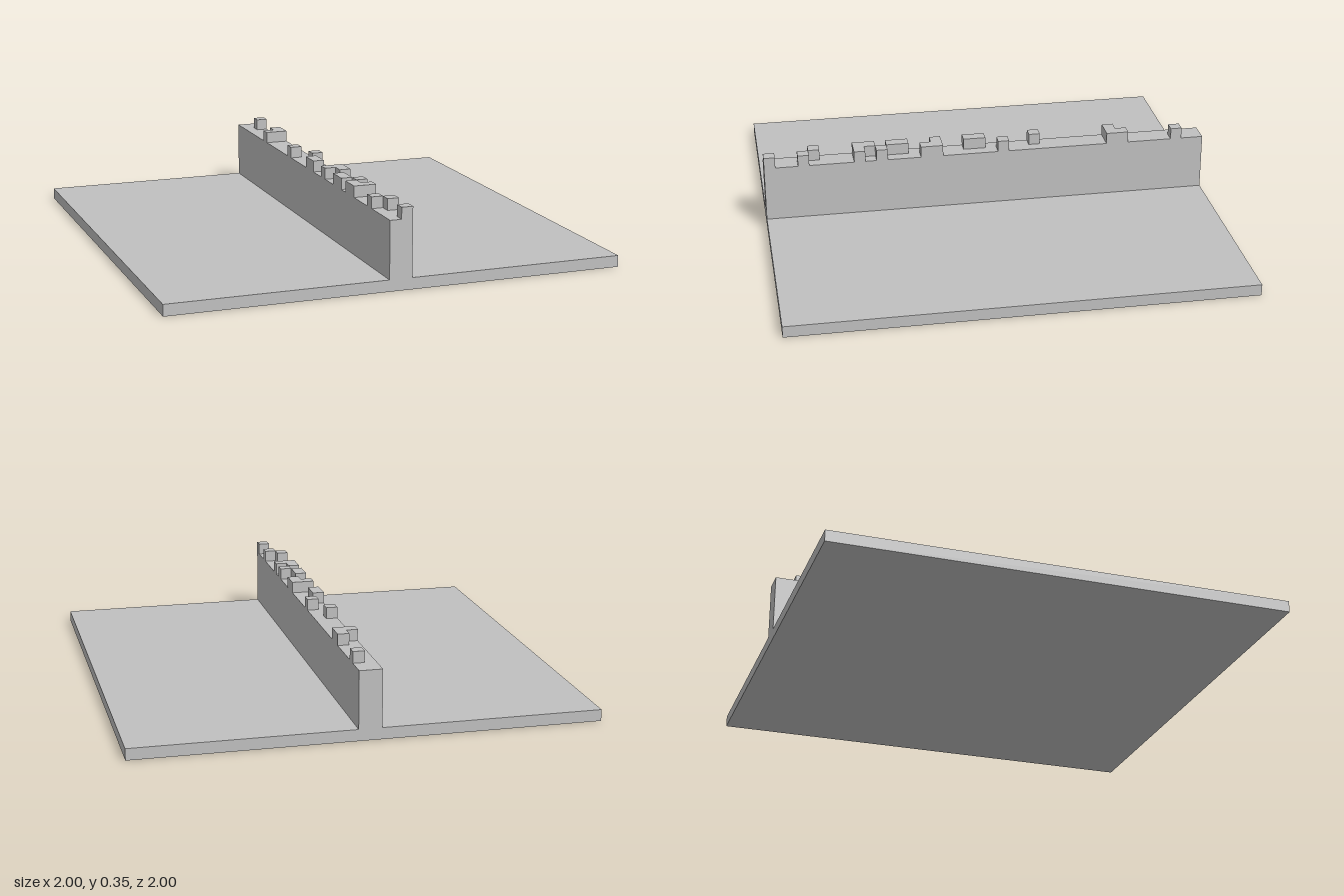
import * as THREE from 'three';

export function createModel() {
  const group = new THREE.Group();
  const stone = new THREE.MeshStandardMaterial({ color: 0xc0c0c0 });
  stone.name = 'light grey stone';

  const U = 0.05; // edge of one block

  // Floor slab and central wall share one inverted-T section
  const section = new THREE.Shape([
    [-1, 0], [1, 0], [1, U], [U, U], [U, 6 * U], [-U, 6 * U], [-U, U], [-1, U],
  ].map(([x, y]) => new THREE.Vector2(x, y)));
  const body = new THREE.Mesh(
    new THREE.ExtrudeGeometry(section, { depth: 2, bevelEnabled: false }).translate(0, 0, -1),
    stone,
  );
  body.name = 'floorAndWall';
  group.add(body);

  // Broken blocks along the wall top: [z start, z end] on each half of its width
  const crest = new THREE.Group();
  crest.name = 'wallCrest';
  const runs = {
    left: [[-0.9, -0.85], [-0.65, -0.55], [-0.1, -0.05], [0.2, 0.3],
      [0.45, 0.5], [0.55, 0.6], [0.8, 0.85], [0.95, 1]],
    right: [[-0.6, -0.55], [-0.25, -0.2], [0, 0.1], [0.2, 0.25],
      [0.35, 0.45], [0.5, 0.6], [0.75, 0.8]],
  };
  for (const [side, list] of Object.entries(runs)) {
    const x = (side === 'left' ? 0.5 : -0.5) * U;
    list.forEach(([z0, z1], i) => {
      const block = new THREE.Mesh(new THREE.BoxGeometry(U, U, z1 - z0), stone);
      block.position.set(x, 6.5 * U, (z0 + z1) / 2);
      block.name = `${side}CrestBlock${i + 1}`;
      crest.add(block);
    });
  }
  group.add(crest);
  return group;
}
